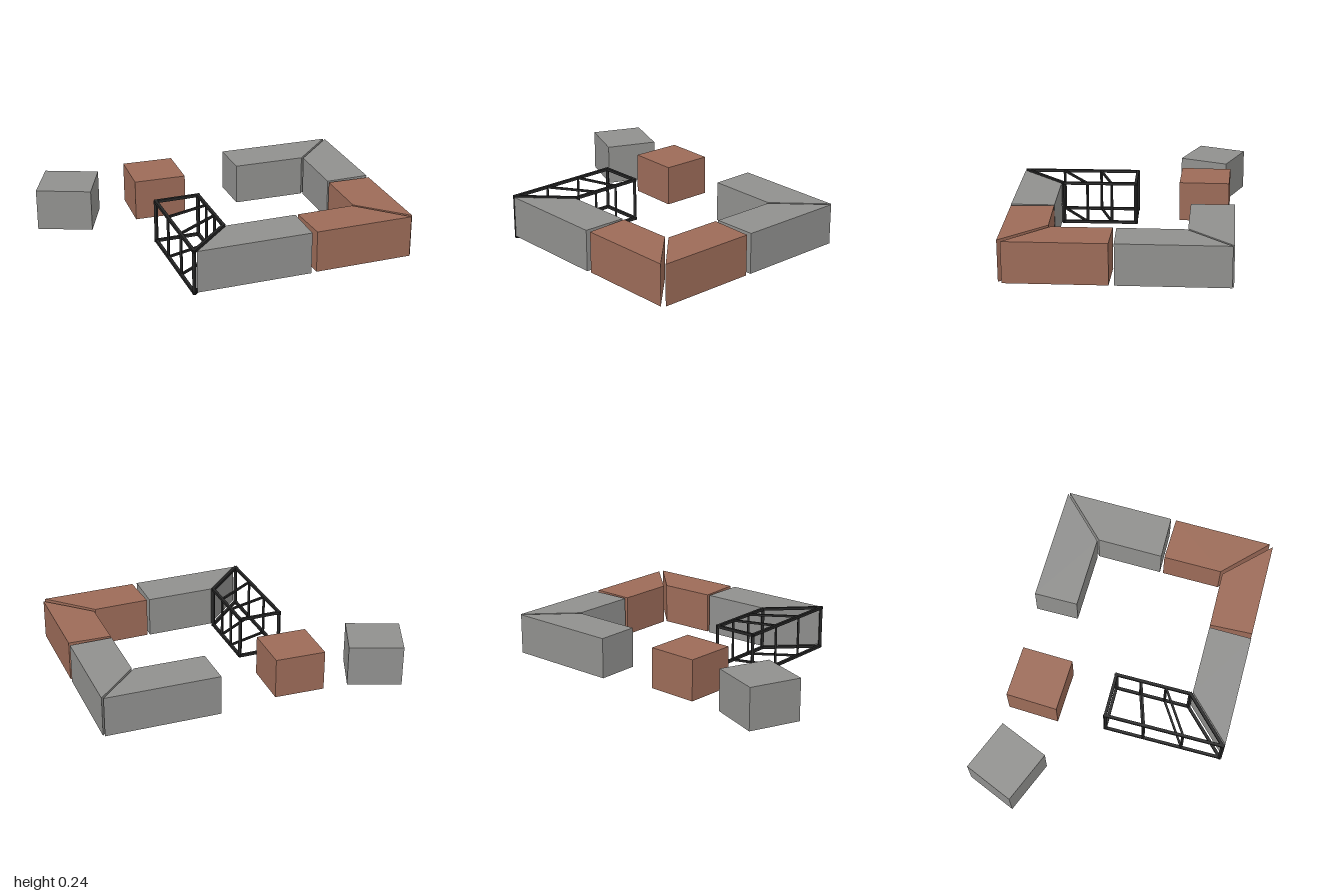
import * as THREE from 'three';

const grey = new THREE.MeshStandardMaterial({ name: 'stone grey', color: 0x90908e });
const red = new THREE.MeshStandardMaterial({ name: 'brick red', color: 0x9c6b58 });
const black = new THREE.MeshStandardMaterial({ name: 'frame black', color: 0x262626 });

// Upright prism over a ground plan of [x, z] corners
function block(name, material, y0, y1, plan) {
  const shape = new THREE.Shape(plan.map(([x, z]) => new THREE.Vector2(x, -z)));
  const geometry = new THREE.ExtrudeGeometry(shape, { depth: y1 - y0, bevelEnabled: false });
  geometry.rotateX(-Math.PI / 2).translate(0, y0, 0);
  const mesh = new THREE.Mesh(geometry, material);
  mesh.name = name;
  return mesh;
}

// Square bar between two points
function bar(name, a, b, t) {
  const mesh = new THREE.Mesh(new THREE.BoxGeometry(t, t, a.distanceTo(b) + t * 0.9), black);
  mesh.name = name;
  mesh.position.copy(a).lerp(b, 0.5);
  mesh.lookAt(b);
  return mesh;
}

// Open wire module: outline, two slanted dividers, uprights
function wireFrame() {
  const group = new THREE.Group();
  group.name = 'wireFrame';
  const low = 0.008, high = 0.231;
  const at = ([x, z], y) => new THREE.Vector3(x, y, z);
  const addLoop = (points, t, closed) => {
    points.forEach((p, i) => {
      group.add(bar('upright', at(p, low), at(p, high), t));
      if (!closed && i === points.length - 1) return;
      const q = points[(i + 1) % points.length];
      for (const y of [low, high]) group.add(bar('rail', at(p, y), at(q, y), t));
    });
  };
  addLoop([[0.188, 0.815], [0.188, 0.492], [-0.095, 0.211], [-0.256, 0.376]], 0.015, true);
  addLoop([[0, 0.305], [-0.108, 0.52]], 0.011, false);
  addLoop([[0.094, 0.4], [0.04, 0.665]], 0.011, false);
  return group;
}

export function createModel() {
  const model = new THREE.Group();
  model.name = 'modularSeating';

  // Mitred benches forming the angular ring
  model.add(
    block('backRightBench', grey, 0.013, 0.23, [[0.192, -0.83], [0.192, -0.505], [-0.083, -0.237], [-0.248, -0.4]]),
    block('backLeftBench', grey, 0.013, 0.23, [[0.203, -0.83], [0.203, -0.505], [0.448, -0.255], [0.607, -0.42]]),
    block('backCornerBench', red, 0.013, 0.23, [[0.626, -0.4], [0.46, -0.242], [0.68, -0.02], [0.995, -0.026]]),
    block('frontCornerBench', red, 0.015, 0.233, [[1, -0.003], [0.68, -0.003], [0.472, 0.215], [0.64, 0.367]]),
    block('frontLeftBench', grey, 0.013, 0.233, [[0.622, 0.388], [0.462, 0.225], [0.203, 0.49], [0.203, 0.815]]),
    wireFrame()
  );

  // Loose cubes
  model.add(
    block('redCube', red, 0.027, 0.244, [[-0.448, -0.158], [-0.646, 0.027], [-0.461, 0.226], [-0.261, 0.038]]),
    block('greyCube', grey, 0.008, 0.228, [[-0.735, 0.15], [-1, 0.263], [-0.894, 0.52], [-0.627, 0.407]])
  );
  return model;
}
